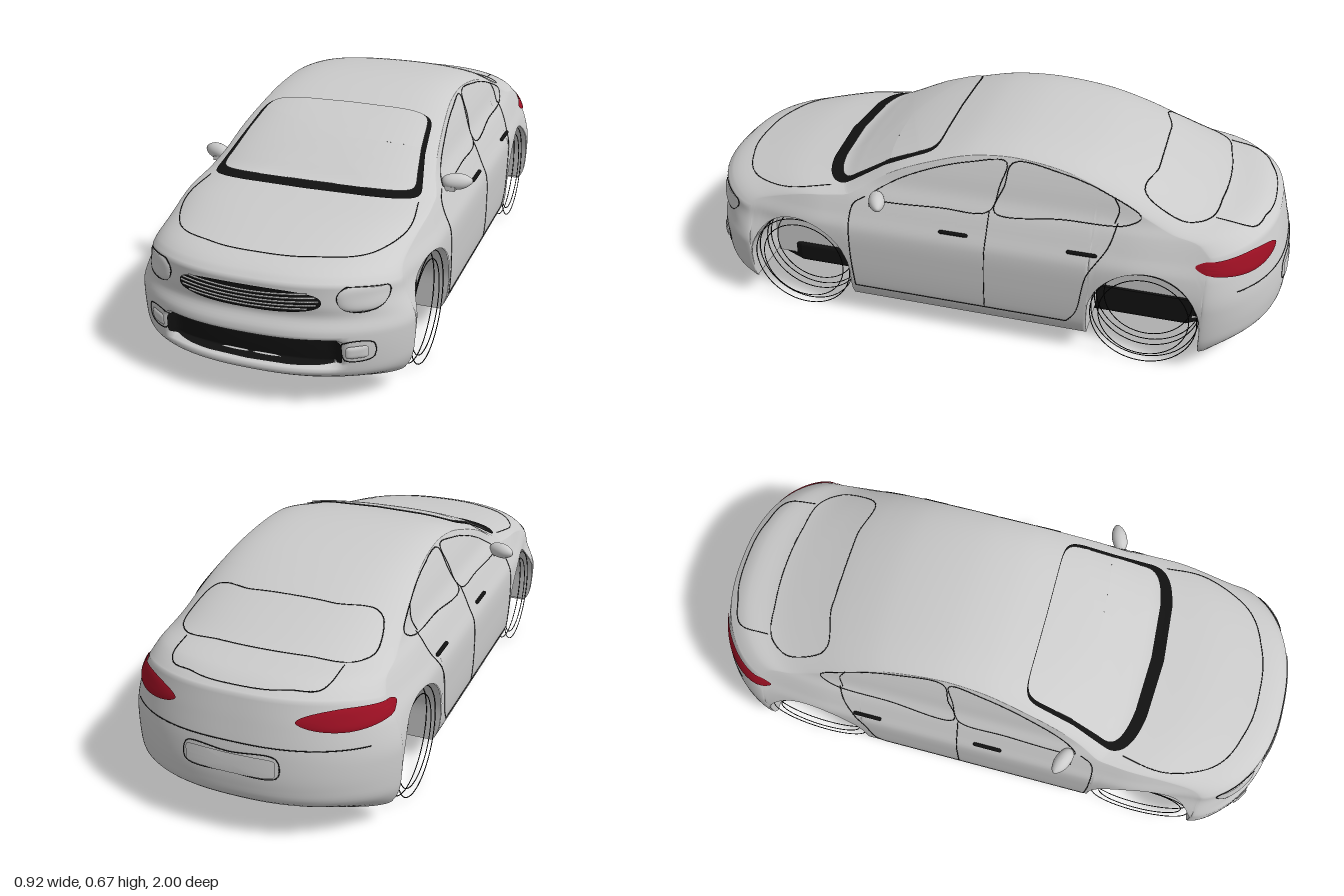
import * as THREE from 'three';
import { mergeGeometries, mergeVertices } from 'three/addons/utils/BufferGeometryUtils.js';

const make = (color) => new THREE.MeshStandardMaterial({ color, side: THREE.DoubleSide });
const grey = make(0xcccccc), black = make(0x111111), red = make(0x9a0f22);
const { lerp, clamp, smoothstep } = THREE.MathUtils;

// smooth curve through ascending [key, value] pairs
function curve(pts) {
  const slope = (i) => {
    const a = pts[Math.max(i - 1, 0)], b = pts[Math.min(i + 1, pts.length - 1)];
    return (b[1] - a[1]) / (b[0] - a[0]);
  };
  return (k) => {
    k = clamp(k, pts[0][0], pts[pts.length - 1][0]);
    let i = 0;
    while (i < pts.length - 2 && k > pts[i + 1][0]) i++;
    const [x0, y0] = pts[i], [x1, y1] = pts[i + 1], h = x1 - x0, s = (k - x0) / h;
    const s2 = s * s, s3 = s2 * s;
    return (2 * s3 - 3 * s2 + 1) * y0 + (s3 - 2 * s2 + s) * h * slope(i)
      + (3 * s2 - 2 * s3) * y1 + (s3 - s2) * h * slope(i + 1);
  };
}

// centre-line height over z, half width over height, nose and tail profiles downwards
const top = curve([[-.953, .452], [-.9, .485], [-.78, .507], [-.65, .55], [-.5, .605], [-.35, .645], [-.15, .667],
  [0, .66], [.12, .634], [.3, .579], [.43, .518], [.49, .49], [.55, .482], [.7, .465], [.85, .435], [.95, .41], [.982, .385]]);
const section = curve([[.075, .4], [.1, .415], [.14, .425], [.25, .43], [.35, .426], [.4, .406], [.46, .38],
  [.5, .357], [.56, .336], [.62, .312], [.65, .297]]);
const noseOut = curve([[0, 0], [.2, 0], [.32, -.005], [.45, .015], [.8, .015], [.9, 0], [1, -.07]]);
const tailOut = curve([[0, 0], [.2, .02], [.45, .04], [.7, .045], [.85, .025], [1, -.08]]);

const FRONT = .78, REAR = -.76, SILL = .075, AXLE_Y = .175, ARCH = .18, AXLES = [.595, -.575];
// wings draw in above the bumpers towards both ends
const halfWidth = (y, z) => section(y) - .035 * smoothstep(z, .5, .8) * smoothstep(y, .23, .34)
  - .018 * smoothstep(-z, .5, .76) * smoothstep(y, .25, .38);
const centreZ = (a) => a + .3 * a * Math.abs(a) ** .6;    // bowed cross lines
const bow = (t) => 1 - Math.max(0, 1 - Math.abs(t) ** 2.4) ** .68;
const deckY = (t, a) => top(centreZ(a)) - .03 * (.4 * t * t + .6 * t ** 6);
function bottomY(z) {
  for (const c of AXLES) {
    const d = Math.abs(z - c);
    if (d <= ARCH + 1e-6) return AXLE_Y + Math.sqrt(Math.max(0, ARCH * ARCH - d * d));
  }
  return SILL;
}

// points on the body: deck, flank, and the two end faces
const deckPoint = (t, a) => [t * halfWidth(deckY(1, a), a), deckY(t, a), lerp(centreZ(a), a, bow(t))];
function flankPoint(side, a, v) {
  const y = lerp(deckY(1, a), bottomY(a), v);
  return [side * halfWidth(y, a), y, a];
}
function endPoint(a, t, v) {
  const x = t * halfWidth(lerp(deckY(1, a), SILL, v), a), s = Math.sign(a);
  const mouth = a > 0 ? .045 * smoothstep(v, .5, .56) * (1 - smoothstep(v, .76, .82))
    * (1 - smoothstep(Math.abs(x), .24, .28)) : 0;
  const z = centreZ(a) + s * ((a > 0 ? noseOut : tailOut)(v) - mouth);
  return [x, lerp(deckY(t, a), SILL, v), lerp(z, a, bow(t))];
}
// end face addressed by x and y, lifted off the surface
function onEnd(a, x, y, lift = .004) {
  const t = clamp(x / halfWidth(y, a), -1, 1), top0 = deckY(t, a);
  const p = endPoint(a, t, clamp((top0 - y) / (top0 - SILL), 0, 1));
  return [p[0], p[1], p[2] + Math.sign(a) * lift];
}

function gridGeometry(nu, nv, fn) {
  const pos = [], idx = [];
  for (let j = 0; j <= nv; j++) for (let i = 0; i <= nu; i++) pos.push(...fn(i, j));
  for (let j = 0; j < nv; j++) for (let i = 0; i < nu; i++) {
    const a = j * (nu + 1) + i, b = a + 1, c = a + nu + 1, d = c + 1;
    idx.push(a, c, b, b, c, d);
  }
  const g = new THREE.BufferGeometry();
  g.setAttribute('position', new THREE.Float32BufferAttribute(pos, 3));
  g.setIndex(idx);
  g.computeVertexNormals();
  return g;
}

export function createModel() {
  const car = new THREE.Group();
  car.name = 'car';
  const add = (name, geometry, material = grey) => {
    const m = new THREE.Mesh(geometry, material);
    m.name = name;
    car.add(m);
    return m;
  };
  // rounded panel lying on a surface
  const panel = (name, cx, cy, rx, ry, power, map, material = grey, bulge = 0) =>
    add(name, gridGeometry(72, 16, (i, j) => {
      const a = i / 72 * Math.PI * 2, r = j / 16, c = Math.cos(a), s = Math.sin(a);
      const e = (q) => Math.sign(q) * Math.abs(q) ** (2 / power);
      return map(cx + rx * r * e(c), cy + ry * r * e(s), .004 + bulge * (1 - r ** 4));
    }), material);
  // thin seam through points on a surface
  const seam = (name, pts, map, closed = false, material = black, r = .0016) =>
    add(name, new THREE.TubeGeometry(new THREE.CatmullRomCurve3(
      new THREE.CatmullRomCurve3(pts.map(([p, q]) => new THREE.Vector3(p, q, 0)), closed, 'centripetal')
        .getPoints(50).slice(0, closed ? -1 : undefined).map((p) => new THREE.Vector3(...map(p.x, p.y, 0))),
      closed), 100, r, 5, closed), material);

  // body shell: deck plus a skirt running around the car
  const rows = [];
  for (let i = 0; i <= 90; i++) rows.push(lerp(REAR, FRONT, i / 90));
  for (const c of AXLES) for (const s of [-1, 1]) rows.push(c + s * ARCH, c + s * (ARCH + .0008), c + s * .175);
  rows.sort((p, q) => p - q);
  const T = 64, V = 36, N = rows.length - 1;
  const ts = Array.from({ length: T + 1 }, (_, i) => Math.sin((i / T - .5) * Math.PI));
  const ring = [
    ...ts.map((t) => (v) => endPoint(FRONT, t, v)),
    ...[...rows].reverse().map((a) => (v) => flankPoint(1, a, v)),
    ...[...ts].reverse().map((t) => (v) => endPoint(REAR, t, v)),
    ...rows.map((a) => (v) => flankPoint(-1, a, v)),
  ];
  const shell = mergeVertices(mergeGeometries([
    gridGeometry(T, N, (i, j) => deckPoint(ts[i], rows[j])),
    gridGeometry(ring.length - 1, V, (i, j) => ring[i](j / V)),
  ].map((g) => g.deleteAttribute('normal'))), 1e-4);
  shell.computeVertexNormals();
  add('bodyShell', shell);

  // underside: bumper floors and a black tray with tapered ends
  for (const a of [FRONT, REAR]) add('bumperFloor', gridGeometry(T, 1, (i, j) => {
    const p = endPoint(a, ts[i], 1);
    return j ? p : [p[0], SILL, a];
  }));
  const tray = new THREE.Shape([[-.235, .68], [-.17, .83], [.17, .83], [.235, .68], [.235, -.7], [.17, -.8],
    [-.17, -.8], [-.235, -.7]].map(([x, z]) => new THREE.Vector2(x, z)));
  const trayMesh = add('underTray', new THREE.ExtrudeGeometry(tray,
    { depth: .05, bevelSize: .01, bevelThickness: .012, bevelSegments: 3 }), black);
  trayMesh.rotation.x = Math.PI / 2;
  trayMesh.position.y = .112;
  for (const s of [1, -1]) {
    const step = add('rearTrayStep', new THREE.BoxGeometry(.01, .06, .36), black);
    step.position.set(s * .242, .123, AXLES[1]);
  }

  // deck details: deck addressed by cross fraction and row
  const onDeck = (t, a, lift) => { const p = deckPoint(t, a); return [p[0], p[1] + lift, p[2]]; };
  panel('windscreenSurround', 0, .296, .9, .168, 9, onDeck, black);
  panel('windscreen', 0, .28, .86, .15, 9, (t, a, l) => onDeck(t, a, l + .004));
  seam('bonnetSeam', [[-.9, .46], [-.93, .6], [-.82, .68], [-.4, .71], [0, .715], [.4, .71], [.82, .68], [.93, .6], [.9, .46]], onDeck);
  const rearGlass = [[-.84, -.5], [-.4, -.475], [0, -.47], [.4, -.475], [.84, -.5], [.88, -.6], [.78, -.64],
    [.4, -.635], [0, -.635], [-.4, -.635], [-.78, -.64], [-.88, -.6]];
  seam('rearWindowSeam', rearGlass, onDeck, true);
  seam('bootSeam', [[-.7, -.655], [-.68, -.72], [-.4, -.74], [0, -.745], [.4, -.74], [.68, -.72], [.7, -.655]], onDeck);

  // nose details
  const onNose = (x, y, l) => onEnd(FRONT, x, y, l);
  panel('lowerGrille', 0, .18, .27, .041, 6, onNose, black);
  panel('upperGrille', 0, .336, .21, .036, 2.6, onNose, black);
  for (let i = 0; i < 5; i++) {
    const y = .314 + i * .011, w = .205 * Math.sqrt(1 - ((y - .336) / .042) ** 2);
    seam('grilleSlat', [[-w, y + .004], [0, y - .002], [w, y + .004]], (x, q) => onNose(x, q, .006), false, grey, .0028);
  }

  // tail details
  const onTail = (x, y, l) => onEnd(REAR, x, y, l);
  panel('plateRecess', 0, .255, .14, .03, 8, onTail);
  seam('plateSeam', [[-.14, .285], [0, .287], [.14, .285], [.145, .23], [0, .225], [-.145, .23]], onTail, true);
  seam('bumperSeam', [[-.37, .31], [-.2, .315], [0, .318], [.2, .315], [.37, .31]], onTail);

  for (const s of [1, -1]) {
    const onSide = (z, y, l = 0) => [s * (halfWidth(y, z) + l), y, z];

    // lamps
    panel('headlight', s * .31, .342, .06, .038, 2.7, onNose, grey, .008);
    seam('headlightRim', [[.249, .345], [.268, .377], [.33, .382], [.371, .352], [.357, .314], [.31, .301], [.262, .315]]
      .map(([x, y]) => [s * x, y]), (x, y) => onNose(x, y, .003), true);
    panel('fogLight', s * .308, .188, .028, .019, 5, onNose, grey, .006);
    seam('fogLightRim', [[.268, .212], [.345, .212], [.345, .164], [.275, .164]].map(([x, y]) => [s * x, y]), onNose, true);
    // tail lamp wraps from the rear face onto the flank
    panel('tailLight', .78, .395, .32, .032, 1.7, (q, y, l) => {
      if (q > 1) return onSide(REAR + (q - 1) * .4, y, l);
      const p = onEnd(REAR, s * q * halfWidth(y, REAR), y, l);
      return [p[0] + s * l * q, p[1], p[2]];
    }, red, .003);

    // side windows and doors
    seam('frontWindowSeam', [[.34, .462], [.27, .515], [.15, .57], [.02, .608], [-.1, .622], [-.085, .55],
      [-.06, .472], [.1, .46]], onSide, true);
    seam('rearWindowSeam', [[-.12, .622], [-.28, .612], [-.42, .575], [-.54, .515], [-.5, .488], [-.3, .478],
      [-.075, .472], [-.1, .55]], onSide, true);
    seam('quarterWindowSeam', [[-.45, .565], [-.47, .53], [-.46, .488]], onSide);
    seam('frontDoorSeam', [[.36, .46], [.4, .43], [.408, .3], [.4, .125]], onSide);
    seam('middleDoorSeam', [[-.06, .47], [-.055, .3], [-.055, .125]], onSide);
    seam('rearDoorSeam', [[-.47, .49], [-.45, .42], [-.39, .32], [-.36, .17], [-.33, .125]], onSide);
    seam('sillSeam', [[.4, .125], [0, .125], [-.33, .125]], onSide);
    for (const z of [.05, -.37]) {
      const handle = add('doorHandle', new THREE.CapsuleGeometry(.0065, .085, 4, 10), black);
      handle.rotation.x = Math.PI / 2;
      handle.position.set(...onSide(z, .392, .006));
    }

    // door mirror, tapering towards the tip
    const housing = new THREE.SphereGeometry(1, 24, 16), p = housing.attributes.position;
    for (let i = 0; i < p.count; i++) {
      const k = 1 - .25 * p.getX(i) ** 2 * s * Math.sign(p.getX(i));
      p.setXYZ(i, p.getX(i), p.getY(i) * k, p.getZ(i) * k);
    }
    housing.computeVertexNormals();
    const mirror = add('mirror', housing);
    mirror.scale.set(.05, .026, .026);
    mirror.rotation.set(0, s * .4, 0);
    mirror.position.set(s * .415, .469, .305);
    const stalk = add('mirrorStalk', new THREE.BoxGeometry(.06, .014, .03));
    stalk.position.set(s * .385, .452, .32);

    // sill floor between the wheels
    const floor = add('sillFloor', new THREE.BoxGeometry(.16, .008, .81));
    floor.position.set(s * .32, SILL + .004, .01);

    for (const c of AXLES) {
      // wheel arch liner and inner wall
      const arch = (u) => {
        const a = lerp(-.54, Math.PI + .54, u);
        return [AXLE_Y + Math.sin(a) * ARCH, c + Math.cos(clamp(a, 0, Math.PI)) * ARCH];
      };
      add('archLiner', gridGeometry(40, 4, (i, j) => {
        const [y, z] = arch(i / 40);
        return [s * lerp(.235, halfWidth(y, z) - .002, j / 4), y, z];
      }));
      add('archWall', gridGeometry(40, 1, (i, j) => {
        const [y, z] = arch(i / 40);
        return [s * .235, j ? y : SILL, z];
      }));

      // skeletal wheel of fine hoops
      const wheel = new THREE.Group();
      wheel.name = 'wheel';
      for (const [x, r] of [[.295, .172], [.322, .173], [.38, .173], [.41, .171], [.405, .145], [.3, .145]]) {
        const hoop = new THREE.Mesh(new THREE.TorusGeometry(r, .0016, 5, 64), black);
        hoop.name = 'wheelHoop';
        hoop.rotation.y = Math.PI / 2;
        hoop.position.x = s * x;
        wheel.add(hoop);
      }
      wheel.position.set(0, AXLE_Y, c);
      car.add(wheel);
    }
  }
  return car;
}
